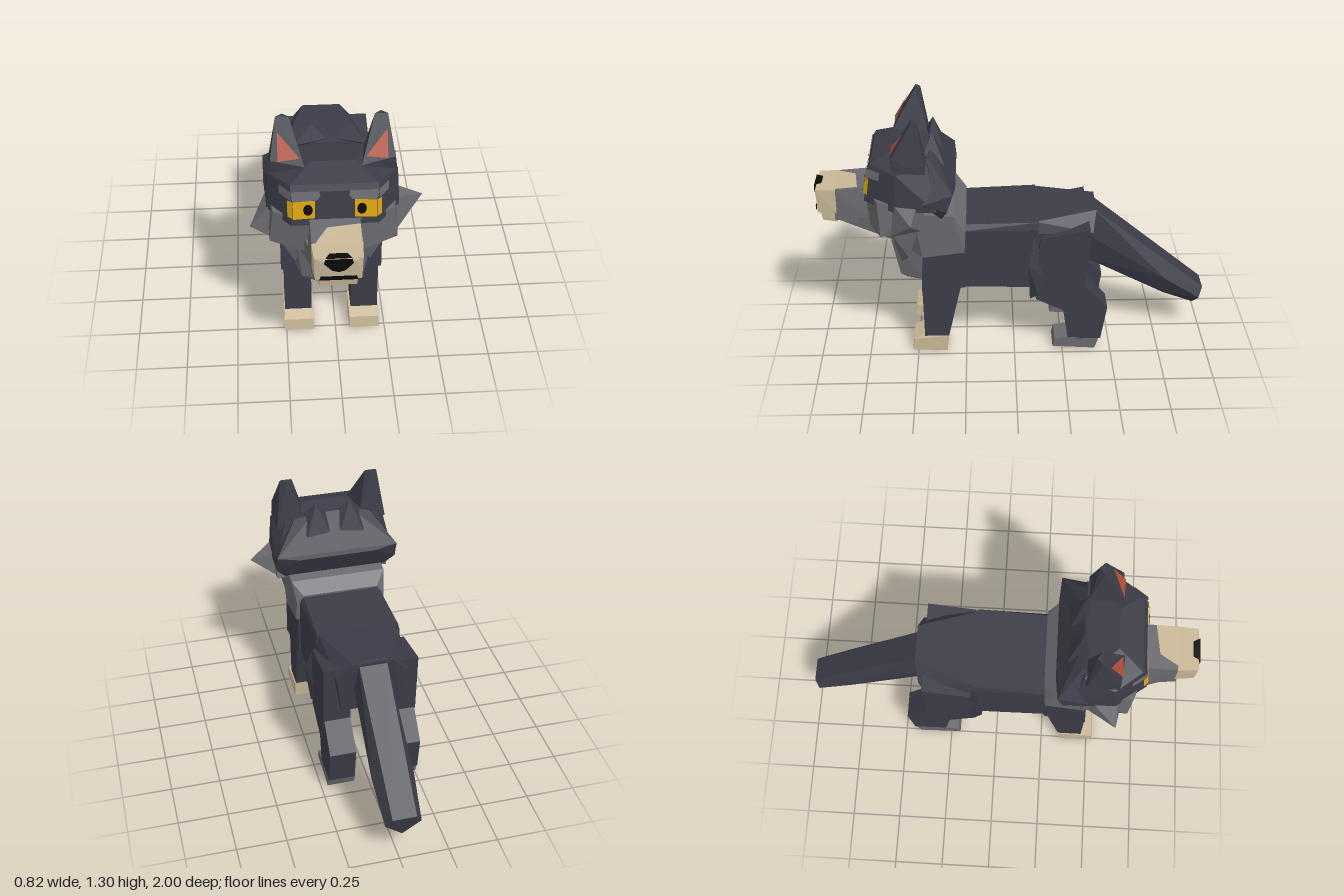
import * as THREE from 'three';
import { ConvexGeometry } from 'three/addons/geometries/ConvexGeometry.js';

const paint = (name, color, side = THREE.FrontSide) => {
  const m = new THREE.MeshStandardMaterial({ color, side });
  m.name = name;
  return m;
};

export function createModel() {
  const fur = paint('darkFur', 0x3c3c48);
  const grey = paint('greyFur', 0x6a6a6f);
  const tan = paint('tanFur', 0xc9b897, THREE.DoubleSide);
  const yellow = paint('eyeYellow', 0xdca50f, THREE.DoubleSide);
  const red = paint('innerEarRed', 0xb0503a, THREE.DoubleSide);
  const black = paint('black', 0x0a0a0a, THREE.DoubleSide);
  const brow = paint('browGrey', 0x6e6e74, THREE.DoubleSide);

  const wolf = new THREE.Group();
  wolf.name = 'wolf';
  wolf.position.x = -0.02;

  const add = (name, geometry, material) => {
    const mesh = new THREE.Mesh(geometry, material);
    mesh.name = name;
    wolf.add(mesh);
  };
  // Faceted solid around a few corner points
  const hull = (name, material, pts) =>
    add(name, new ConvexGeometry(pts.map((p) => new THREE.Vector3(...p))), material);
  // Solid symmetric about x = 0, from its left half
  const symmetric = (name, material, pts) =>
    hull(name, material, pts.flatMap(([x, y, z]) => (x ? [[x, y, z], [-x, y, z]] : [[x, y, z]])));
  // One solid on each side
  const pair = (name, material, pts) => {
    for (const s of [1, -1]) hull(name + (s > 0 ? 'Left' : 'Right'), material, pts.map(([x, y, z]) => [s * x, y, z]));
  };
  // Side profile of [z, y] points given width from x0 to x1
  const slab = (profile, x0, x1) => profile.flatMap(([z, y]) => [[x0, y, z], [x1, y, z]]);
  // Flat painted face made as a triangle fan
  const plate = (name, material, pts) => {
    const g = new THREE.BufferGeometry();
    g.setAttribute('position', new THREE.Float32BufferAttribute(pts.flat(), 3));
    const index = [];
    for (let i = 1; i < pts.length - 1; i++) index.push(0, i, i + 1);
    g.setIndex(index);
    const flat = g.toNonIndexed();
    flat.computeVertexNormals();
    add(name, flat, material);
  };
  // Keep front plates wound towards +z on both sides
  const platePair = (name, material, pts) => {
    plate(name + 'Left', material, pts);
    plate(name + 'Right', material, pts.map(([x, y, z]) => [-x, y, z]).reverse());
  };

  // Torso
  symmetric('body', fur, [
    [0.2, 0.73, 0.25], [0.22, 0.7, 0.25], [0.22, 0.38, 0.25], [0.1, 0.31, 0.18],
    [0.21, 0.74, -0.12], [0.22, 0.7, -0.12], [0.22, 0.37, -0.1], [0.1, 0.35, -0.12],
  ]);
  symmetric('rump', fur, [
    [0.2, 0.74, -0.11], [0.22, 0.68, -0.11], [0.2, 0.38, -0.11],
    [0.1, 0.75, -0.42], [0.18, 0.66, -0.4], [0.15, 0.45, -0.38],
  ]);
  symmetric('shoulders', fur, [
    [0.23, 0.66, 0.25], [0.23, 0.38, 0.25], [0.25, 0.62, 0.46], [0.25, 0.37, 0.47],
    [0.06, 0.31, 0.3], [0.06, 0.31, 0.44],
  ]);
  symmetric('tail', fur, [
    [0.07, 0.75, -0.4], [0.09, 0.6, -0.38], [0.06, 0.45, -0.37],
    [0.06, 0.42, -0.8], [0.105, 0.34, -0.79], [0.06, 0.23, -0.79],
    [0.06, 0.26, -1], [0.09, 0.21, -0.98], [0, 0.13, -0.965],
  ]);

  // Front legs
  pair('frontLeg', fur, [
    ...slab([[0.27, 0.4], [0.47, 0.4], [0.465, 0.09], [0.34, 0.09]], 0.1, 0.235),
  ]);
  pair('frontPaw', tan, slab([[0.34, 0.09], [0.52, 0.075], [0.53, 0.01], [0.35, 0]], 0.09, 0.24));
  platePair('frontPawTop', tan, [[0.1, 0.1, 0.47], [0.235, 0.1, 0.47], [0.24, 0.075, 0.523], [0.09, 0.075, 0.523]]);

  // Hind legs
  pair('thigh', fur, [
    ...slab([[-0.13, 0.66], [-0.11, 0.31], [-0.29, 0.22], [-0.36, 0.38], [-0.38, 0.71]], 0.1, 0.24),
  ]);
  pair('shin', fur, slab([[-0.25, 0.25], [-0.36, 0.38], [-0.48, 0.25], [-0.45, 0.06], [-0.28, 0.06]], 0.1, 0.235));
  pair('hindPaw', grey, slab([[-0.29, 0.07], [-0.21, 0.06], [-0.2, 0.015], [-0.42, 0], [-0.44, 0.06]], 0.095, 0.235));
  pair('hipTuft', fur, [[0.22, 0.66, -0.1], [0.22, 0.3, -0.08], [0.25, 0.34, -0.12], [0.27, 0.52, -0.07], [0.22, 0.4, -0.2]]);

  // Neck ruff and chest bib
  symmetric('neckRuff', grey, [
    [0.2, 0.74, 0.24], [0.235, 0.7, 0.245], [0.24, 0.59, 0.25], [0.25, 0.57, 0.46],
    [0.25, 0.8, 0.3], [0.26, 0.82, 0.5], [0.18, 0.6, 0.55],
  ]);
  symmetric('chestBib', grey, [
    [0.17, 0.63, 0.62], [0.15, 0.42, 0.58], [0.08, 0.36, 0.55], [0, 0.34, 0.55],
    [0.2, 0.63, 0.46], [0.18, 0.4, 0.46], [0.08, 0.36, 0.46],
  ]);
  symmetric('throat', grey, [
    [0.1, 0.71, 0.88], [0.13, 0.7, 0.72], [0.16, 0.63, 0.62], [0.2, 0.8, 0.5], [0.2, 0.62, 0.47], [0.1, 0.76, 0.86],
  ]);

  // Skull
  symmetric('head', fur, [
    [0.2, 1.07, 0.7], [0.2, 1.04, 0.715], [0.2, 0.87, 0.74], [0.3, 1.05, 0.57], [0.31, 0.86, 0.59],
    [0.1, 1.11, 0.58], [0.25, 1.08, 0.42], [0.32, 0.86, 0.38],
  ]);
  symmetric('backOfHead', fur, [
    [0.2, 1.1, 0.42], [0.1, 1.13, 0.41], [0.32, 0.95, 0.3], [0.32, 0.86, 0.33], [0.27, 0.8, 0.36],
    [0.32, 0.9, 0.45], [0.2, 0.93, 0.29],
  ]);
  pair('maneTuft', fur, [[0.09, 1.19, 0.4], [0.02, 1.12, 0.42], [0.17, 1.1, 0.44], [0.15, 1.03, 0.34], [0.03, 1.04, 0.35]]);
  pair('ear', fur, [
    [0.255, 1.3, 0.49], [0.195, 1.3, 0.49], [0.225, 1.3, 0.465], [0.285, 1.13, 0.592], [0.13, 1.1, 0.61],
    [0.29, 1.06, 0.59], [0.29, 1.05, 0.43], [0.15, 1.07, 0.43],
  ]);
  platePair('innerEar', red, [[0.25, 1.245, 0.533], [0.15, 1.14, 0.596], [0.25, 1.13, 0.602]]);

  // Cheeks with fur points
  pair('cheek', grey, [
    [0.1, 0.9, 0.745], [0.1, 0.7, 0.74], [0.28, 0.9, 0.67], [0.3, 0.72, 0.66],
    [0.3, 0.75, 0.42], [0.31, 0.89, 0.45], [0.12, 0.72, 0.5],
  ]);
  for (const [side, s, tip] of [['Left', 1, [0.43, 0.84, 0.5]], ['Right', -1, [-0.39, 0.76, 0.6]]]) {
    hull('cheekPoint' + side, grey, [
      [s * 0.28, 0.9, 0.6], [s * 0.29, 0.71, 0.62], [s * 0.3, 0.75, 0.46], [s * 0.31, 0.88, 0.48], tip,
    ]);
  }
  pair('jawTuft', grey, [
    [0.12, 0.72, 0.62], [0.27, 0.72, 0.61], [0.25, 0.72, 0.48], [0.18, 0.51, 0.57], [0.23, 0.56, 0.53],
  ]);

  // Muzzle
  symmetric('muzzle', grey, [
    [0.115, 0.9, 0.72], [0.13, 0.7, 0.72], [0.115, 0.885, 0.9], [0.115, 0.72, 0.9],
  ]);
  symmetric('muzzleTip', tan, [
    [0.116, 0.886, 0.89], [0.116, 0.757, 0.89], [0.11, 0.885, 0.99], [0.105, 0.757, 0.985], [0.08, 0.87, 0.995],
  ]);
  symmetric('lowerJaw', tan, [
    [0.1, 0.757, 0.89], [0.1, 0.7, 0.89], [0.085, 0.757, 0.975], [0.085, 0.705, 0.965],
  ]);
  plate('muzzleTop', tan, [[-0.1, 0.892, 0.9], [0.113, 0.892, 0.9], [0.113, 0.902, 0.78], [-0.04, 0.902, 0.8]]);
  plate('nose', black, [
    [0, 0.81, 1], [0.03, 0.82, 1], [0.066, 0.86, 1], [0.06, 0.885, 1],
    [-0.06, 0.885, 1], [-0.066, 0.86, 1], [-0.03, 0.82, 1],
  ]);
  plate('noseTop', black, [[-0.06, 0.889, 1], [0.06, 0.889, 1], [0.04, 0.89, 0.965], [-0.04, 0.89, 0.965]]);
  plate('mouth', black, [[-0.088, 0.76, 0.995], [0.088, 0.76, 0.995], [0.08, 0.785, 0.997], [-0.08, 0.785, 0.997]]);

  // Brows, eyes and pupils lie just in front of the face
  const face = (x, y, lift) => [x, y, 0.74 - (y - 0.87) * 0.147 + lift];
  const brows = [[0.08, 1.0], [0.19, 0.99], [0.2, 1.035], [0.19, 1.045], [0.07, 1.045], [0.065, 1.02]];
  platePair('brow', brow, brows.map(([x, y]) => face(x, y, 0.004)));
  plate('browSideLeft', brow, [[0.2, 1.0, 0.727], [0.25, 1.0, 0.657], [0.25, 1.045, 0.653], [0.2, 1.045, 0.72]]);
  plate('browSideRight', brow, [[-0.2, 1.045, 0.72], [-0.25, 1.045, 0.653], [-0.25, 1.0, 0.657], [-0.2, 1.0, 0.727]]);
  const eye = [[0.09, 0.91], [0.19, 0.905], [0.19, 0.995], [0.09, 1.0]];
  platePair('eye', yellow, eye.map(([x, y]) => face(x, y, 0.007)));
  platePair('eyeSide', yellow, [[0.192, 0.91, 0.742], [0.215, 0.91, 0.722], [0.215, 0.995, 0.71], [0.192, 0.995, 0.729]]);
  const pupil = Array.from({ length: 10 }, (_, i) => {
    const a = (i * Math.PI) / 5;
    return face(0.122 + 0.022 * Math.cos(a), 0.955 + 0.029 * Math.sin(a), 0.011);
  });
  platePair('pupil', black, pupil);

  const model = new THREE.Group();
  model.add(wolf);
  return model;
}
